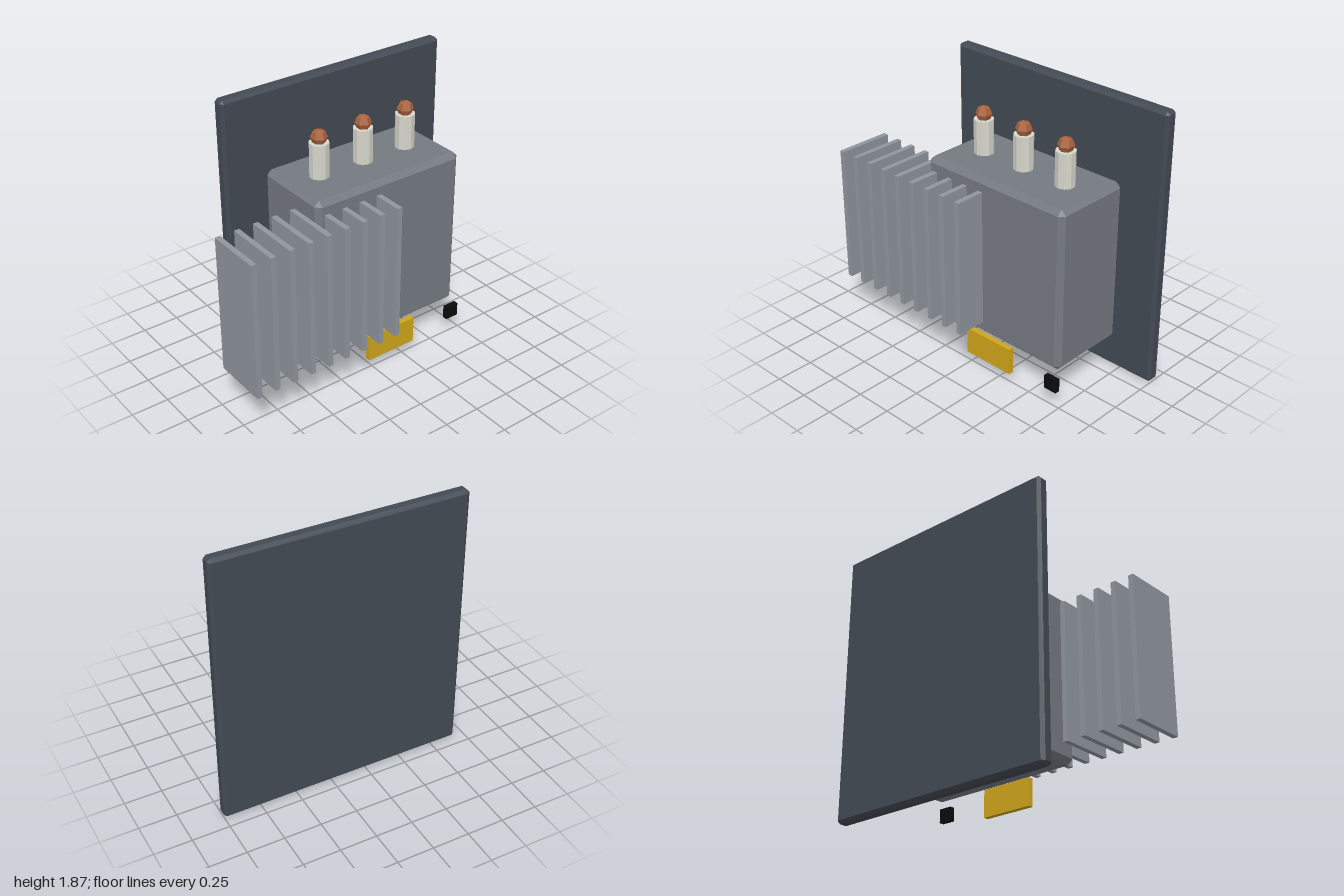
import * as THREE from 'three';
import { ConvexGeometry } from 'three/addons/geometries/ConvexGeometry.js';

const paint = (color) => new THREE.MeshStandardMaterial({ color, flatShading: true });

// Box with a single flat chamfer of width c on every edge
function chamferedBox(w, h, d, c) {
  const half = [w / 2, h / 2, d / 2];
  const points = [];
  for (const sx of [-1, 1]) for (const sy of [-1, 1]) for (const sz of [-1, 1]) {
    for (let axis = 0; axis < 3; axis++) {
      const p = half.map((v, i) => (i === axis ? v : v - c));
      points.push(new THREE.Vector3(sx * p[0], sy * p[1], sz * p[2]));
    }
  }
  return new ConvexGeometry(points);
}

export function createModel() {
  const model = new THREE.Group();

  function add(parent, name, geometry, material, x, y, z) {
    const mesh = new THREE.Mesh(geometry, material);
    mesh.name = name;
    mesh.position.set(x, y, z);
    parent.add(mesh);
    return mesh;
  }

  // Box spanning the given limits, chamfered when c > 0
  function block(parent, name, material, [x0, x1], [y0, y1], [z0, z1], c = 0) {
    const size = [x1 - x0, y1 - y0, z1 - z0];
    const geometry = c ? chamferedBox(...size, c) : new THREE.BoxGeometry(...size);
    return add(parent, name, geometry, material, (x0 + x1) / 2, (y0 + y1) / 2, (z0 + z1) / 2);
  }

  // Mounting plate and transformer tank
  block(model, 'backPlate', paint(0x434a54), [-0.68, 1], [0, 1.87], [-0.43, -0.34], 0.02);
  block(model, 'tank', paint(0x757a82), [-0.4, 0.715], [0.23, 1.345], [-0.34, 0.225], 0.035);

  // Row of cooling fins, offset to the right of the tank
  const fins = new THREE.Group();
  fins.name = 'coolingFins';
  const finMaterial = paint(0x90969e);
  for (let i = 0; i < 9; i++) {
    const x = -0.985 + i * 0.1306;
    block(fins, 'coolingFin', finMaterial, [x - 0.0175, x + 0.0175], [0.32, 1.255], [0.05, 0.43]);
  }
  model.add(fins);

  // Three insulators with copper terminals
  const insulatorGeometry = new THREE.CylinderGeometry(0.065, 0.065, 0.25, 10);
  const terminalGeometry = new THREE.SphereGeometry(0.055, 6, 4).rotateY(Math.PI / 2);
  const insulatorMaterial = paint(0xd6d6cc);
  const terminalMaterial = paint(0xa9623c);
  for (let i = 0; i < 3; i++) {
    const bushing = new THREE.Group();
    bushing.name = 'bushing';
    bushing.position.set(-0.18 + i * 0.335, 0, -0.06);
    add(bushing, 'insulator', insulatorGeometry, insulatorMaterial, 0, 1.45, 0);
    add(bushing, 'terminal', terminalGeometry, terminalMaterial, 0, 1.608, 0);
    model.add(bushing);
  }

  // Yellow warning plate and small black marker below the tank front
  block(model, 'warningPlate', paint(0xd0a61b), [-0.03, 0.34], [0.06, 0.245], [0.225, 0.26]);
  block(model, 'marker', paint(0x0c0c0c), [0.635, 0.73], [0.107, 0.2], [0.225, 0.26]);

  return model;
}
